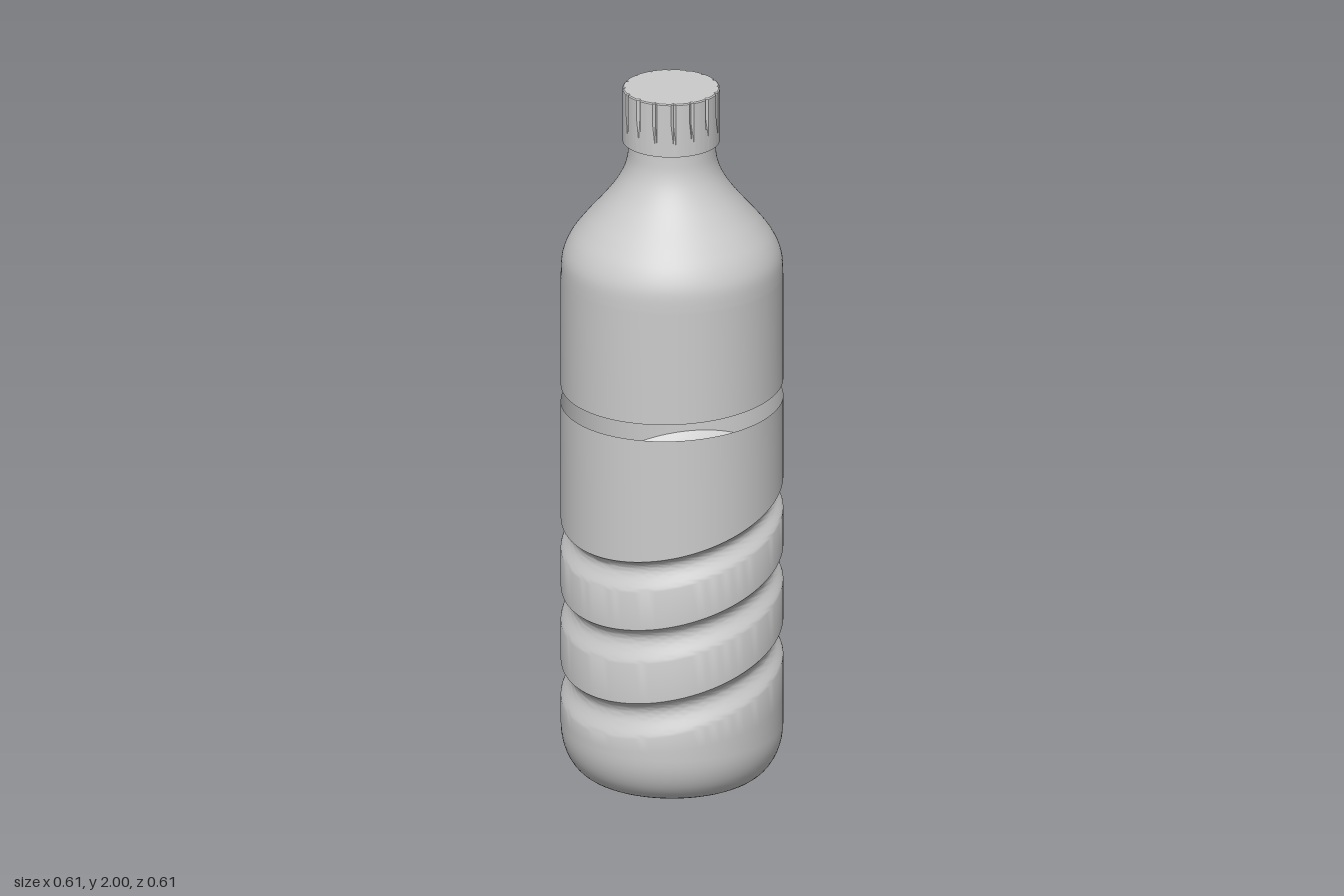
import * as THREE from 'three';
import { mergeVertices, toCreasedNormals } from 'three/addons/utils/BufferGeometryUtils.js';

const RADIUS = 0.304;
const material = new THREE.MeshStandardMaterial({ color: 0xcccccc, side: THREE.DoubleSide });

// Turn a profile, then move its vertices by a rule
function turned(name, profile, segments, move, crease) {
  let geometry = new THREE.LatheGeometry(profile, segments);
  const pos = geometry.attributes.position;
  const v = new THREE.Vector3();
  for (let i = 0; i < pos.count; i++) {
    v.fromBufferAttribute(pos, i);
    move(v, i);
    pos.setXYZ(i, v.x, v.y, v.z);
  }
  geometry.deleteAttribute('normal');
  geometry.deleteAttribute('uv');
  geometry = mergeVertices(geometry, 1e-5);
  if (crease) geometry = toCreasedNormals(geometry, crease);
  else geometry.computeVertexNormals();
  const mesh = new THREE.Mesh(geometry, material);
  mesh.name = name;
  return mesh;
}

const lerpClamped = (x, a, b) => THREE.MathUtils.clamp((x - a) / (b - a), 0, 1);

// Lower body: rounded foot, three slanted grooves, slanted open rim
function lowerBody() {
  const points = [new THREE.Vector2(0, 0.008), new THREE.Vector2(0.19, 0.008), new THREE.Vector2(0.2, 0.003)];
  for (let i = 0; i <= 12; i++) {
    const a = (i / 12) * Math.PI / 2;
    points.push(new THREE.Vector2(0.21 + (RADIUS - 0.21) * Math.sin(a), 0.14 * (1 - Math.cos(a))));
  }
  points.push(new THREE.Vector2(RADIUS, 0.2));
  const grooves = [[0.28, 0.385], [0.5, 0.6], [0.71, 0.8]];
  for (const [low, high] of grooves) {
    for (let i = 0; i <= 16; i++) {
      const t = i / 16; // soft lower side, steeper upper side
      const depth = 0.024 * Math.sin(Math.PI * Math.pow(t, 1.3));
      points.push(new THREE.Vector2(RADIUS - depth, low + (high - low) * t));
    }
  }
  points.push(new THREE.Vector2(RADIUS, 0.815), new THREE.Vector2(RADIUS, 0.95), new THREE.Vector2(RADIUS, 1.09));
  return turned('lowerBody', points, 96, (v) => {
    const slant = 0.29 * lerpClamped(v.y, 0.14, 0.27);
    v.y -= v.z * THREE.MathUtils.lerp(slant, 0.043, lerpClamped(v.y, 0.82, 1.09));
  }, 0.6);
}

// Upper body: slanted open lower edge, shoulder and neck
function upperBody() {
  const shoulder = new THREE.SplineCurve([
    [RADIUS, 1.45], [0.3, 1.51], [0.28, 1.56], [0.246, 1.607], [0.205, 1.655],
    [0.165, 1.705], [0.138, 1.75], [0.124, 1.79], [0.119, 1.83], [0.118, 1.86],
  ].map(([x, y]) => new THREE.Vector2(x, y)));
  const points = [new THREE.Vector2(RADIUS, 1.138), new THREE.Vector2(RADIUS, 1.3), ...shoulder.getPoints(40)];
  return turned('upperBody', points, 96, (v) => {
    v.y -= v.z * 0.043 * (1 - lerpClamped(v.y, 1.138, 1.3));
  });
}

// Screw cap: narrow grip notches that deepen towards the top
function cap() {
  const notches = 16, perNotch = 8;
  const profile = [[0.116, 1.845], [0.133, 1.845], [0.133, 1.88], [0.133, 1.94], [0.133, 1.997], [0.13, 2], [0, 2]]
    .map(([x, y]) => new THREE.Vector2(x, y));
  const mesh = turned('cap', profile, notches * perNotch, (v, i) => {
    const column = Math.floor(i / profile.length);
    if (column % perNotch === 0 && Math.hypot(v.x, v.z) > 0.12) {
      const scale = 1 - 0.045 * lerpClamped(v.y, 1.87, 1.94);
      v.x *= scale;
      v.z *= scale;
    }
  }, 0.5);
  mesh.position.x = -0.003;
  return mesh;
}

export function createModel() {
  const bottle = new THREE.Group();
  bottle.name = 'bottle';
  bottle.add(lowerBody(), upperBody(), cap());
  return bottle;
}
